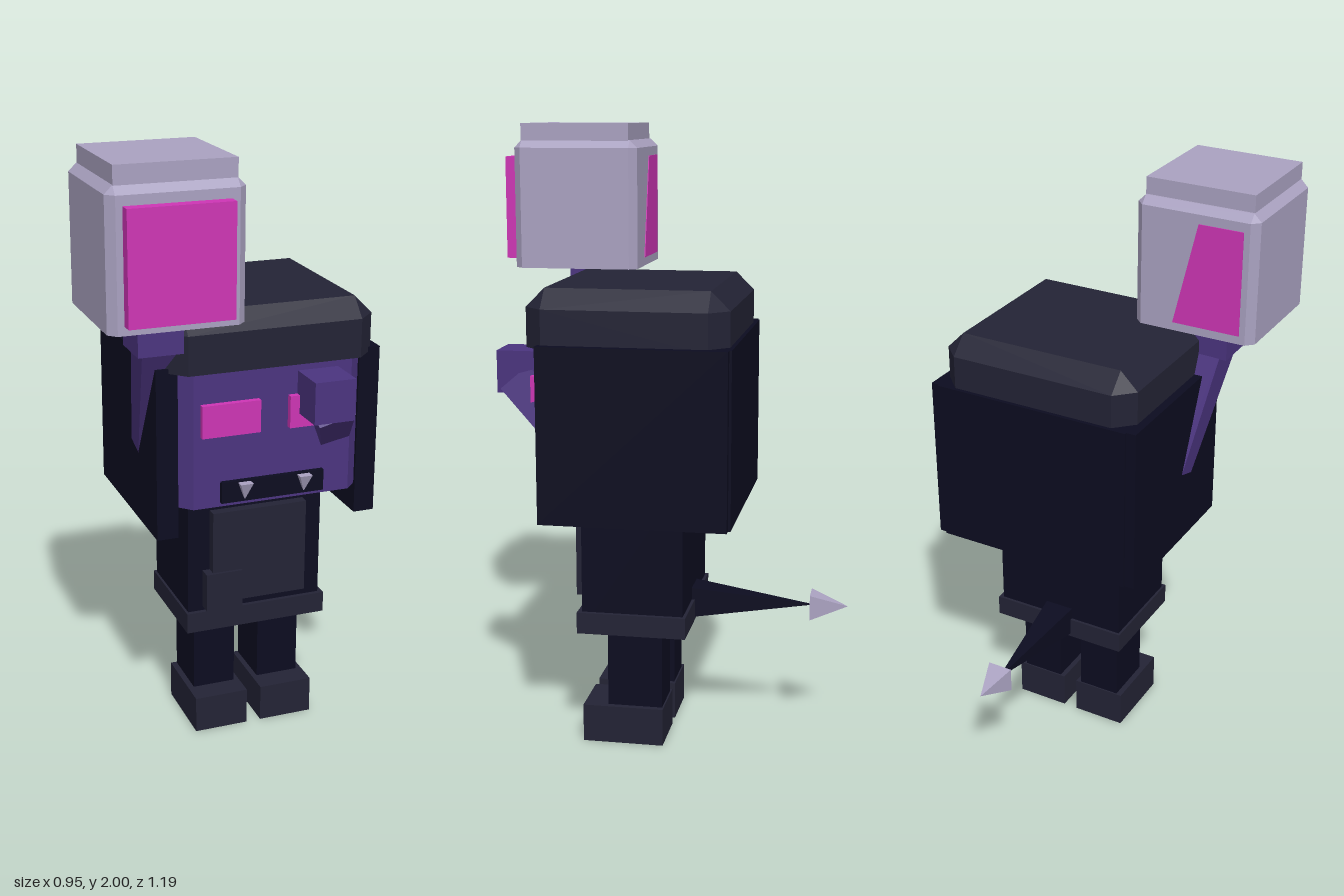
import * as THREE from 'three';
import { ConvexGeometry } from 'three/addons/geometries/ConvexGeometry.js';

const mat = (name, color) => {
  const m = new THREE.MeshStandardMaterial({ color });
  m.name = name;
  return m;
};

export function createModel() {
  const navy = mat('navy cloth', 0x0c0c20);
  const slate = mat('slate leather', 0x232335);
  const purple = mat('purple skin', 0x4b347f);
  const pink = mat('pink glow', 0xce35b5);
  const lilac = mat('pale lilac', 0xaaa2c1);
  const model = new THREE.Group();

  const add = (name, geometry, material) => {
    const m = new THREE.Mesh(geometry, material);
    m.name = name;
    model.add(m);
    return m;
  };

  // Box given by its limits on each axis
  const box = (name, material, [x0, x1], [y0, y1], [z0, z1]) => {
    const m = add(name, new THREE.BoxGeometry(x1 - x0, y1 - y0, z1 - z0), material);
    m.position.set((x0 + x1) / 2, (y0 + y1) / 2, (z0 + z1) / 2);
    return m;
  };

  // Box with chamfered edges and a flat underside
  const chamferBox = (name, material, [x0, x1], [y0, y1], [z0, z1], c) => {
    const w = (x1 - x0) / 2, d = (z1 - z0) / 2, pts = [];
    for (const sx of [-1, 1]) for (const sz of [-1, 1]) {
      for (const y of [y0, y1 - c]) {
        pts.push(new THREE.Vector3(sx * w, y, sz * (d - c)));
        pts.push(new THREE.Vector3(sx * (w - c), y, sz * d));
      }
      pts.push(new THREE.Vector3(sx * (w - c), y1, sz * (d - c)));
    }
    const m = add(name, new ConvexGeometry(pts), material);
    m.position.set((x0 + x1) / 2, 0, (z0 + z1) / 2);
    return m;
  };

  // Square tapered bar between two points, half widths h0 and h1
  const taper = (name, material, from, to, h0, h1) => {
    const a = new THREE.Vector3(...from), b = new THREE.Vector3(...to);
    const geo = new THREE.CylinderGeometry(h1 * Math.SQRT2, h0 * Math.SQRT2, a.distanceTo(b), 4)
      .rotateY(Math.PI / 4).toNonIndexed();
    geo.computeVertexNormals();
    const m = add(name, geo, material);
    m.position.copy(a).add(b).multiplyScalar(0.5);
    m.quaternion.setFromUnitVectors(new THREE.Vector3(0, 1, 0), b.sub(a).normalize());
    return m;
  };

  // Legs, feet, eyes and fangs in pairs about x = 0.1
  for (const s of [-1, 1]) {
    const side = s > 0 ? 'left' : 'right';
    const span = (c, h) => [0.1 + s * c - h, 0.1 + s * c + h];
    box(side + 'Leg', navy, span(0.116, 0.073), [0.12, 0.37], [-0.01, 0.17]);
    box(side + 'Foot', slate, span(0.117, 0.092), [0, 0.125], [-0.015, 0.25]);
    box(side + 'Eye', pink, span(0.145, 0.096), [1.12, 1.225], [0.37, 0.4]);
    taper(side + 'Fang', lilac, [0.1 + s * 0.1, 0.905, 0.4], [0.1 + s * 0.1, 0.96, 0.4], 0.001, 0.021);
    // Hood side wall
    box(side + 'HoodWall', navy, span(0.338, 0.035), [0.78, 1.34], [-0.245, 0.35]);
  }

  // Torso and clothing
  box('torso', navy, [-0.135, 0.33], [0.4, 0.9], [-0.085, 0.245]);
  box('belt', slate, [-0.143, 0.345], [0.385, 0.455], [-0.095, 0.26]);
  box('chestPanel', slate, [-0.06, 0.265], [0.49, 0.81], [0.24, 0.278]);
  box('pouch', slate, [-0.085, 0.04], [0.47, 0.6], [0.24, 0.288]);

  // Hood, head and cap
  box('hoodBack', navy, [-0.24, 0.445], [0.78, 1.34], [-0.253, -0.18]);
  box('hoodTop', navy, [-0.24, 0.44], [1.27, 1.338], [-0.24, 0.34]);
  chamferBox('head', purple, [-0.203, 0.403], [0.88, 1.36], [-0.18, 0.38], 0.04);
  chamferBox('cap', slate, [-0.245, 0.445], [1.325, 1.51], [-0.24, 0.397], 0.06);
  box('jaw', navy, [-0.075, 0.27], [0.895, 0.965], [0.3, 0.395]);

  // Arms taper from the hands back to the shoulders
  box('rightHand', purple, [-0.343, -0.2], [1.4, 1.53], [0.25, 0.4]);
  taper('rightArm', purple, [-0.22, 0.8, 0.02], [-0.265, 1.42, 0.32], 0.025, 0.058);
  box('leftHand', purple, [0.18, 0.315], [1.165, 1.3], [0.38, 0.515]);
  taper('leftArm', purple, [0.42, 0.82, 0.1], [0.26, 1.2, 0.45], 0.025, 0.06);

  // Lantern with glowing window
  chamferBox('lantern', lilac, [-0.475, -0.06], [1.522, 1.945], [0.14, 0.558], 0.025);
  box('lanternLid', lilac, [-0.45, -0.083], [1.93, 2.0], [0.17, 0.535]);
  box('lanternWindow', pink, [-0.43, -0.11], [1.55, 1.89], [0.5, 0.597]);
  const glow = new THREE.Shape([[-0.43, 1.55], [-0.2, 1.55], [-0.28, 1.89], [-0.43, 1.89]]
    .map(p => new THREE.Vector2(...p)));
  add('lanternBackGlow', new THREE.ExtrudeGeometry(glow, { depth: 0.006, bevelEnabled: false }), pink)
    .position.z = 0.137;

  // Tail with a pointed tip
  taper('tail', navy, [0.1, 0.445, -0.05], [0.1, 0.445, -0.48], 0.055, 0.001);
  taper('tailTip', lilac, [0.1, 0.445, -0.475], [0.1, 0.445, -0.596], 0.042, 0.0005);

  return model;
}
